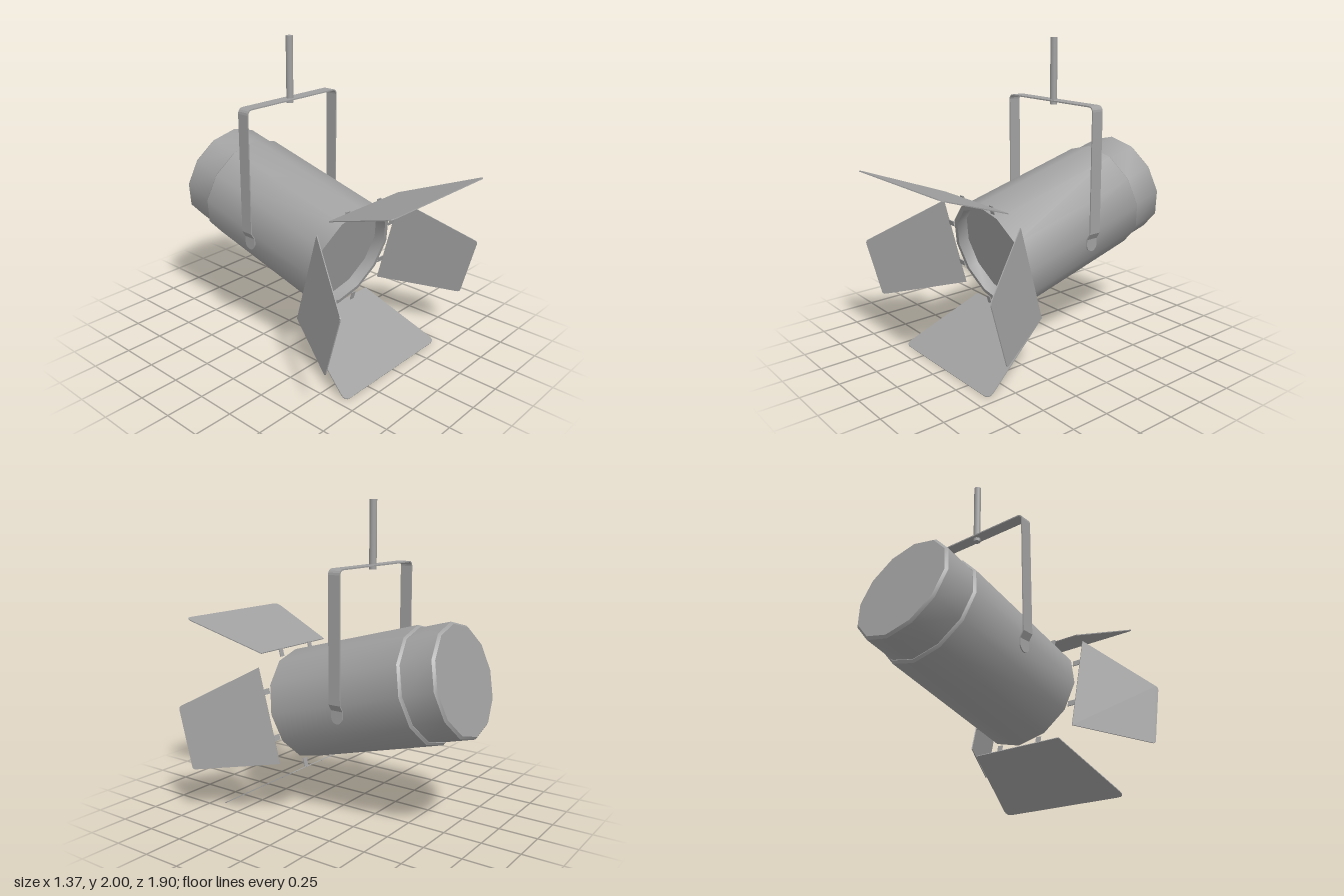
import * as THREE from 'three';
import { toCreasedNormals } from 'three/addons/utils/BufferGeometryUtils.js';

const material = new THREE.MeshStandardMaterial({ color: 0xa0a0a0, side: THREE.DoubleSide });
const V = (x, y) => new THREE.Vector2(x, y);

function add(parent, geometry, name, x = 0, y = 0, z = 0) {
  const mesh = new THREE.Mesh(geometry, material);
  mesh.name = name;
  mesh.position.set(x, y, z);
  parent.add(mesh);
  return mesh;
}

// Thin trapezoid door: hinge edge on x, reaching out along +z, outer corners rounded
function doorGeometry(in0, in1, out0, out1, length, r) {
  const a = V(in0, 0), b = V(in1, 0), c = V(out1, length), d = V(out0, length);
  const toward = (p, q) => p.clone().add(q.clone().sub(p).setLength(r));
  const shape = new THREE.Shape();
  shape.moveTo(a.x, a.y);
  shape.lineTo(b.x, b.y);
  for (const [prev, corner, next] of [[b, c, d], [c, d, a]]) {
    const p = toward(corner, prev), q = toward(corner, next);
    shape.lineTo(p.x, p.y);
    shape.quadraticCurveTo(corner.x, corner.y, q.x, q.y);
  }
  shape.closePath();
  const g = new THREE.ExtrudeGeometry(shape, { depth: 0.006, bevelEnabled: false, curveSegments: 4 });
  return g.translate(0, 0, -0.003).rotateX(Math.PI / 2);
}

// Bent flat strap: right half of the path, mirrored, with an inner offset outline
function yokeGeometry() {
  const half = (t) => {
    const pts = [];
    const r = 0.035 - t;
    for (let i = 0; i <= 4; i++) {
      const a = (Math.PI / 2) * (1 - i / 4);
      pts.push(V(0.368 + r * Math.cos(a), 1.575 + r * Math.sin(a)));
    }
    pts.push(V(0.403 - t, 0.81), V(0.378 - t, 0.77), V(0.378 - t, 0.73));
    return pts;
  };
  const full = (t) => [...half(t).reverse().map((p) => V(-p.x, p.y)), ...half(t)];
  const shape = new THREE.Shape([...full(0), ...full(0.008).reverse()]);
  const g = new THREE.ExtrudeGeometry(shape, { depth: 0.082, bevelEnabled: false });
  return g.translate(0, 0, -0.041);
}

export function createModel() {
  const model = new THREE.Group();
  model.name = 'stageLight';

  // Lamp head, tilted nose-down about the yoke
  const head = new THREE.Group();
  head.name = 'lampHead';
  head.position.set(0, 0.8, -0.217);
  head.rotation.x = THREE.MathUtils.degToRad(15);
  model.add(head);

  // Twelve-sided can: stepped back cap, barrel, rim and recessed lens
  const profile = [
    V(0, -0.668), V(0.335, -0.668), V(0.35, -0.653), V(0.35, -0.447),
    V(0.354, -0.447), V(0.368, -0.433), V(0.368, 0.538), V(0.338, 0.538), V(0.338, 0.46), V(0, 0.46),
  ];
  const can = new THREE.LatheGeometry(profile, 12).rotateX(Math.PI / 2);
  add(head, toCreasedNormals(can, 0.6), 'can');

  // Barn doors
  const rad = THREE.MathUtils.degToRad;
  add(head, doorGeometry(-0.33, 0.33, -0.464, 0.464, 0.574, 0.05), 'topDoor', 0, 0.392, 0.544).rotation.x = rad(-35);
  add(head, doorGeometry(-0.32, 0.32, -0.464, 0.464, 0.565, 0.05), 'bottomDoor', 0, -0.394, 0.511).rotation.x = rad(15);
  for (const [s, name] of [[1, 'leftDoor'], [-1, 'rightDoor']]) {
    const g = doorGeometry(-0.313, 0.313, -0.24, 0.172, 0.563, 0.02).rotateZ(Math.PI / 2);
    add(head, g, name, s * 0.395, -0.002, 0.53).rotation.y = rad(s * 30.5);
  }

  // Two hinge tabs on each of the four sides
  for (let i = 0; i < 4; i++) {
    const side = new THREE.Group();
    side.name = 'hingeTabs';
    side.rotation.z = (i * Math.PI) / 2;
    for (const s of [-1, 1]) {
      add(side, new THREE.BoxGeometry(0.036, 0.056, 0.006), 'hingeTab', s * 0.15, 0.37, 0.534);
    }
    head.add(side);
  }

  // Yoke with rounded pivot ends
  add(model, yokeGeometry(), 'yoke', 0, 0, -0.217);
  for (const s of [-1, 1]) {
    const end = new THREE.CylinderGeometry(0.041, 0.041, 0.008, 16).rotateZ(Math.PI / 2);
    add(model, end, 'yokeEnd', s * 0.374, 0.73, -0.217);
  }

  // Hanging rod
  add(model, new THREE.CylinderGeometry(0.023, 0.023, 0.42, 12), 'hangingRod', 0, 1.79, -0.217);

  return model;
}
